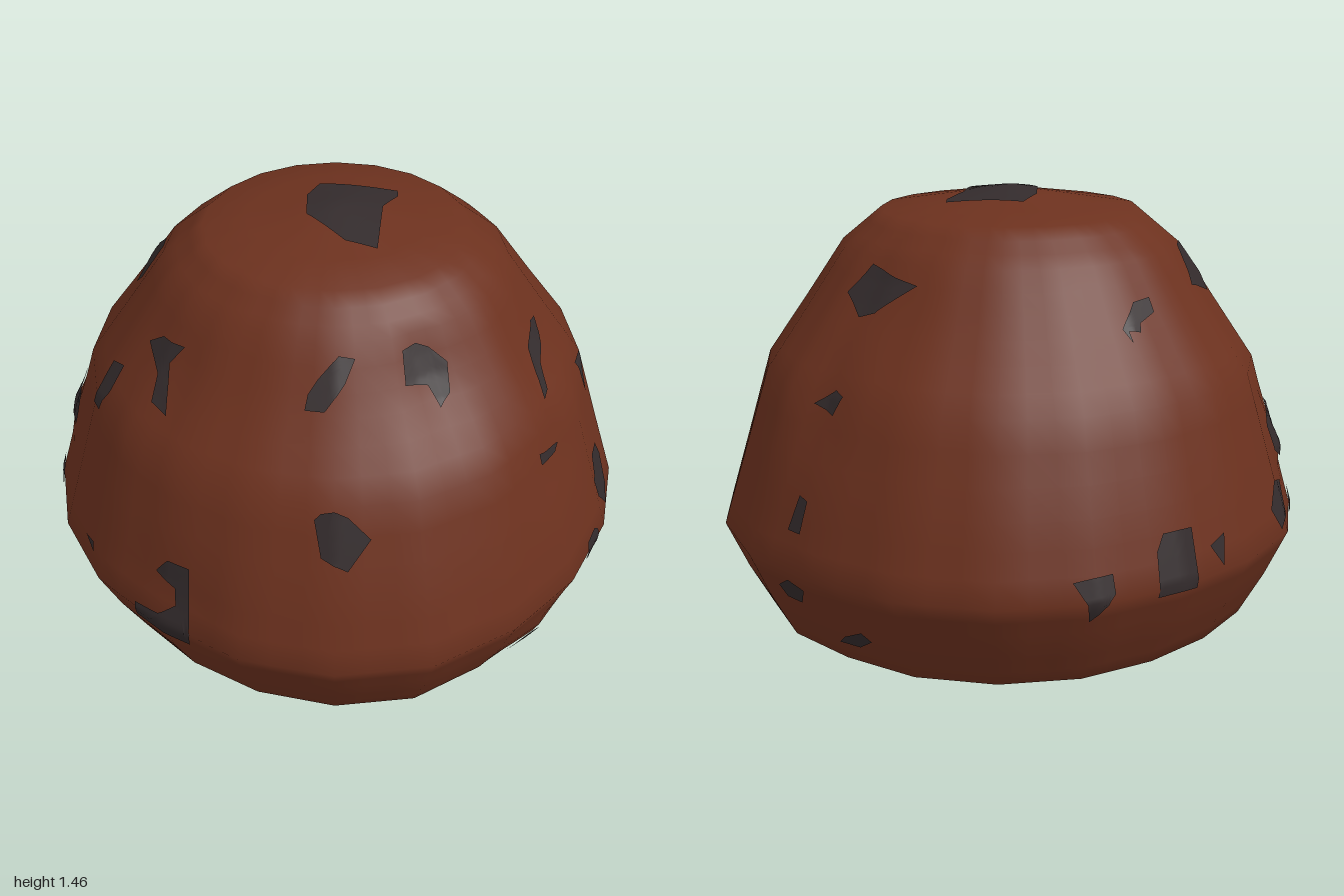
import * as THREE from 'three';
import { mergeVertices } from 'three/addons/utils/BufferGeometryUtils.js';

// Radius of the widest ring every 18 degrees, from +x towards +z
const OUTLINE = [.97, .96, .965, .98, 1.01, 1, .975, .955, .955, .955,
  .96, .975, .955, .96, .985, 1, 1, .98, .995, .985];
// Rings from the base to the crown: height, share of the outline radius
const RINGS = [[0, 0], [0, .45], [0, .73], [.05, .84], [.2, .925], [.36, 1], [.6, .925],
  [.88, .84], [1.08, .7], [1.27, .57], [1.38, .435], [1.45, 0]];
// Hollows and (negative) lumps: angle in degrees, height, depth, width
const HOLLOWS = [[60, 1.13, .035, .13], [33, .81, .025, .12], [-47, .86, .03, .13], [-46, 1.18, .015, .12],
  [123, .45, .02, .15], [20, 1.03, .02, .13], [143, 1.08, .015, .12], [43, .17, -.03, .1], [185, .62, -.03, .07]];
const STEPS = 3; // subdivisions of every facet

function hollowDepth(a, y, r) {
  return HOLLOWS.reduce((sum, [deg, h, depth, width]) => {
    const turn = a - THREE.MathUtils.degToRad(deg);
    const across = 2 * r * Math.sin(turn / 2);
    return sum + depth * Math.exp(-(across * across + (y - h) ** 2) / (width * width));
  }, 0);
}

// Corner of the faceted mound
function corner(ring, column) {
  const n = OUTLINE.length, [y, share] = RINGS[ring];
  const a = (column / n) * Math.PI * 2;
  const r = share * THREE.MathUtils.lerp(OUTLINE[column % n], .98, y / 1.45);
  const squash = 1 - .1 * THREE.MathUtils.smoothstep(y, .6, 1.3);
  return new THREE.Vector3(r * Math.cos(a), y, r * Math.sin(a) * squash);
}

// Faceted mound, subdivided and pressed in at the hollows
function moundGeometry() {
  const cols = OUTLINE.length * STEPS, rows = (RINGS.length - 1) * STEPS;
  const pos = [], index = [];
  for (let i = 0; i <= rows; i++) {
    const ring = Math.min(Math.floor(i / STEPS), RINGS.length - 2), v = i / STEPS - ring;
    for (let j = 0; j < cols; j++) {
      const col = Math.floor(j / STEPS), u = j / STEPS - col;
      const p = corner(ring, col).lerp(corner(ring, col + 1), u)
        .lerp(corner(ring + 1, col).lerp(corner(ring + 1, col + 1), u), v);
      const r = Math.hypot(p.x, p.z);
      const scale = r > .5 && p.y > 0 ? 1 - hollowDepth(Math.atan2(p.z, p.x), p.y, r) / r : 1;
      pos.push(p.x * scale, p.y, p.z * scale);
      if (i === rows) continue;
      const a = i * cols + j, b = i * cols + (j + 1) % cols;
      index.push(a, a + cols, b + cols, a, b + cols, b);
    }
  }
  let g = new THREE.BufferGeometry();
  g.setAttribute('position', new THREE.Float32BufferAttribute(pos, 3));
  g.setIndex(index);
  g = mergeVertices(g, 1e-5);
  g.computeVertexNormals();
  return g;
}

// A direction from which chip outlines are pressed onto the mound
function side(x, z, degrees) {
  const l = Math.hypot(x, z), e = THREE.MathUtils.degToRad(degrees);
  const cx = x / l, cz = z / l, s = Math.sin(e), c = Math.cos(e);
  return {
    right: new THREE.Vector3(cz, 0, -cx),
    up: new THREE.Vector3(-cx * s, c, -cz * s),
    out: new THREE.Vector3(cx * c, s, cz * c),
  };
}

export function createModel() {
  const group = new THREE.Group();
  const brown = new THREE.MeshStandardMaterial({ color: 0x6c311e });
  brown.name = 'cocoa brown';
  const dark = new THREE.MeshStandardMaterial({ color: 0x332b2c });
  dark.name = 'dark chip';

  const mound = new THREE.Mesh(moundGeometry(), brown);
  mound.name = 'mound';
  group.add(mound);
  mound.updateMatrixWorld(true);

  const chips = new THREE.Group();
  chips.name = 'chips';
  group.add(chips);
  const ray = new THREE.Raycaster();

  // Point on the mound below an outline point, lifted slightly
  function press(view, p) {
    const origin = view.out.clone().multiplyScalar(4)
      .addScaledVector(view.right, p.x).addScaledVector(view.up, p.y);
    ray.set(origin, view.out.clone().negate());
    const hit = ray.intersectObject(mound)[0];
    return hit && hit.point.addScaledVector(hit.face.normal, .007);
  }

  // Flat outline, triangulated, split finely and pressed onto the mound
  function chip(name, view, xy) {
    const outline = [];
    for (let i = 0; i < xy.length; i += 2) outline.push(new THREE.Vector2(xy[i], xy[i + 1]));
    if (THREE.ShapeUtils.isClockWise(outline)) outline.reverse();
    const pos = [];
    const split = (a, b, c, depth) => {
      if (depth === 0) {
        const pts = [a, b, c].map((p) => press(view, p));
        if (pts.every(Boolean)) pts.forEach((p) => pos.push(p.x, p.y, p.z));
        return;
      }
      const ab = a.clone().lerp(b, .5), bc = b.clone().lerp(c, .5), ca = c.clone().lerp(a, .5);
      [[a, ab, ca], [ab, b, bc], [ca, bc, c], [ab, bc, ca]].forEach((t) => split(...t, depth - 1));
    };
    THREE.ShapeUtils.triangulateShape(outline, [])
      .forEach((t) => split(...t.map((i) => outline[i]), 3));
    if (!pos.length) return;
    let g = new THREE.BufferGeometry();
    g.setAttribute('position', new THREE.Float32BufferAttribute(pos, 3));
    g = mergeVertices(g, 1e-5);
    g.computeVertexNormals();
    const mesh = new THREE.Mesh(g, dark);
    mesh.name = name;
    chips.add(mesh);
  }

  // Front chips
  const front = side(0, 1, 0);
  [
    [-.06, .84, -.04, .86, 0, .87, .04, .85, .11, .78, .04, .69, -.04, .73],
    [-.09, 1.1, -.08, 1.14, -.05, 1.18, .01, 1.24, .06, 1.23, .03, 1.17, -.03, 1.1],
    [.2, 1.23, .24, 1.24, .28, 1.22, .34, 1.17, .35, 1.09, .32, 1.06, .28, 1.12, .21, 1.14],
    [-.64, .38, -.56, .39, -.5, .44, -.5, .5, -.56, .53, -.52, .59, -.45, .59, -.46, .3, -.64, .3],
    [-.58, 1.11, -.53, 1.15, -.46, 1.16, -.51, 1.1, -.52, .98, -.57, .99, -.55, 1.06],
    [.64, .83, .71, .8, .7, .78, .65, .79],
    [-.82, .44, -.79, .45, -.79, .42],
  ].forEach((p) => chip('frontChip', front, p));

  // Chips on the +x side
  const left = side(1, 0, 0);
  [
    [-.29, .55, -.24, .62, -.15, .6, -.12, .53, -.15, .42, -.22, .39, -.29, .48],
    [-.47, .32, -.43, .4, -.37, .41, -.35, .39, -.39, .23, -.46, .2],
    [-.68, .13, -.65, .2, -.6, .2, -.62, .15],
    [-.35, .94, -.25, 1.07, -.17, 1.12, -.13, 1.11, -.16, 1.07, -.25, 1.01, -.31, .95],
    [-.1, .9, -.02, .89, -.06, .83, -.09, .77],
    [.34, 1.25, .48, 1.21, .47, 1.12, .44, 1.1, .35, 1.16],
    [.54, .85, .57, .9, .61, .89, .61, .83],
    [.66, .59, .69, .58, .71, .48, .67, .48],
    [.64, .29, .7, .33, .74, .31, .69, .25, .64, .25],
    [.71, .13, .74, .16, .8, .2, .8, .17, .75, .13],
  ].forEach((p) => chip('leftChip', left, p));

  // Crown and shoulder chips
  const top = side(0, 1, 90);
  chip('crownChip', top, [-.05, .17, .2, .14, .2, .1, .15, .02, .13, -.2, .03, -.17, -.09, -.04, -.09, .08]);
  chip('shoulderChip', top, [-.78, -.25, -.71, -.21, -.67, -.26, -.72, -.29, -.76, -.29]);

  // Chips around the back and the -x side
  const back = side(-.574, -.819, 25);
  [
    [.4, .99, .44, 1.01, .51, .9, .5, .83, .37, .84],
    [0, .72, .07, .8, .14, .81, .14, .76, .07, .73, .06, .7, .02, .71, .02, .67],
    [.6, .35, .66, .45, .72, .44, .76, .36, .69, .25, .63, .27],
    [.49, .08, .54, .17, .62, .17, .59, .06, .54, .01],
    [.72, .08, .78, .16, .83, .14, .81, .02, .76, -.01],
    [-.07, .04, -.04, .09, .07, .09, .07, -.09, -.08, -.09],
    [-.35, .01, -.23, .01, -.23, -.05, -.3, -.11],
    [.14, .02, .21, .05, .19, -.05],
  ].forEach((p) => chip('backChip', back, p));

  return group;
}
